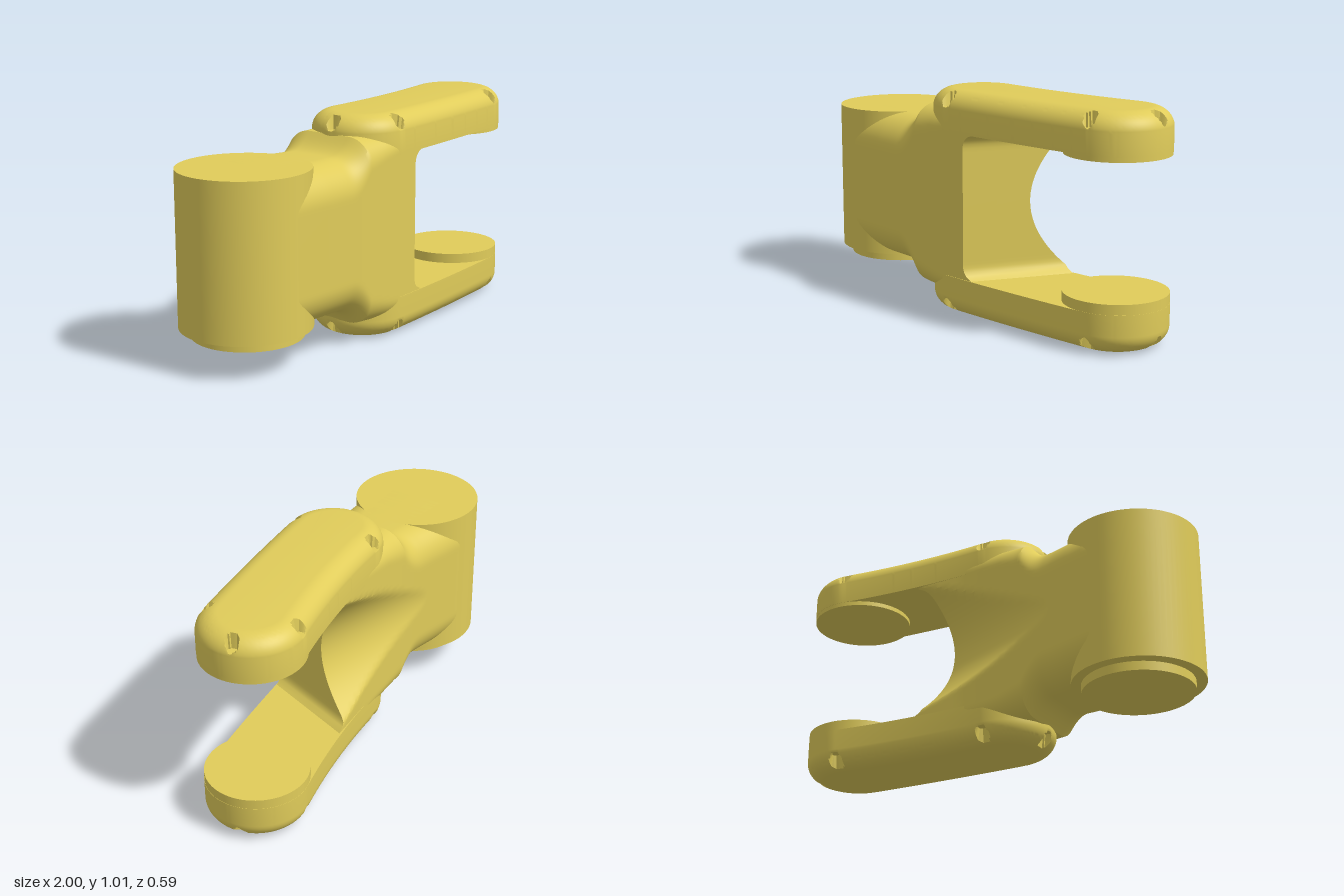
import * as THREE from 'three';
import { toCreasedNormals } from 'three/addons/utils/BufferGeometryUtils.js';

const MID = 0.5075; // height of the mirror plane between the two fork arms
const rad = THREE.MathUtils.degToRad;
const clamp = THREE.MathUtils.clamp;

// Skin closed rings of [x, y, z] points
function loft(rings) {
  const n = rings[0].length, index = [];
  for (let i = 0; i < rings.length - 1; i++) {
    for (let j = 0; j < n; j++) {
      const a = i * n + j, b = i * n + (j + 1) % n, c = b + n, d = a + n;
      index.push(a, d, c, a, c, b);
    }
  }
  const geo = new THREE.BufferGeometry();
  geo.setAttribute('position', new THREE.Float32BufferAttribute(rings.flat(2), 3));
  geo.setIndex(index);
  return toCreasedNormals(geo, 0.6);
}

// Piecewise linear lookup in [x, value] pairs
function lookup(table, x) {
  for (let i = 1; i < table.length; i++) {
    const [x0, v0] = table[i - 1], [x1, v1] = table[i];
    if (x <= x1) return v0 + (v1 - v0) * clamp((x - x0) / (x1 - x0), 0, 1);
  }
  return table[table.length - 1][1];
}

// Depth taken off by a rounded corner of radius r, at distance q from the edge
function corner(q, r) {
  if (q >= r) return 0;
  const k = r - Math.max(q, 0);
  return r - Math.sqrt(Math.max(r * r - k * k, 0));
}

// Plan outline of a fork arm, inset by d
function armOutline(d) {
  const pts = [];
  const arc = (cx, cz, r, a0, a1, n) => {
    for (let i = 0; i < n; i++) {
      const a = rad(a0 + (a1 - a0) * i / n);
      pts.push([cx + (r - d) * Math.cos(a), cz + (r - d) * Math.sin(a)]);
    }
  };
  const side = (p, c, q, n) => {
    const curve = new THREE.QuadraticBezierCurve(
      new THREE.Vector2(...p), new THREE.Vector2(...c), new THREE.Vector2(...q));
    for (let i = 0; i < n; i++) pts.push(curve.getPoint(i / n).toArray());
  };
  const on = (cx, cz, r, a) => [cx + (r - d) * Math.cos(rad(a)), cz + (r - d) * Math.sin(rad(a))];
  arc(-0.01, 0.06, 0.225, 88, 268, 70);
  side(on(-0.01, 0.06, 0.225, 268), [0.36, -0.16 + d], on(0.77, -0.005, 0.23, -98), 80);
  arc(0.77, -0.005, 0.23, -98, 82, 70);
  side(on(0.77, -0.005, 0.23, 82), [0.4, 0.267 - d], on(-0.01, 0.06, 0.225, 88), 80);
  return pts;
}

// Small drilled pockets on the rounded rim of each arm, [x, z]
const pockets = [[-0.01, -0.143], [-0.01, 0.258], [-0.21, 0.06], [0.735, -0.208], [0.805, 0.192], [0.965, -0.04]];

function armGeometry(upper) {
  const rings = [];
  const ring = (d, y) => rings.push(armOutline(d).map(([x, z]) => {
    const drilled = pockets.some(([px, pz]) => Math.hypot(x - px, z - pz) < 0.028);
    return [x, drilled ? Math.min(y, 0.943) : y, z];
  }));
  const hub = y => rings.push(armOutline(0).map(() => [0.38, y, 0.03]));
  hub(0.835);
  ring(0, 0.835);
  ring(0, 0.93);
  const steps = 14;
  for (let i = 1; i <= steps; i++) {
    const a = Math.PI / 2 * i / steps;
    ring(0.095 * (1 - Math.cos(a)), 0.93 + 0.085 * Math.sin(a));
  }
  hub(1.015);
  if (upper) return loft(rings);
  return loft(rings.map(r => r.map(([x, y, z]) => [x, 2 * MID - y, z])).reverse());
}

const front = [[-0.71, 0.279], [-0.5, 0.288], [-0.3, 0.292], [-0.1, 0.288], [0.05, 0.28], [0.2, 0.27]];
const back = [[-0.71, -0.299], [-0.6, -0.283], [-0.5, -0.258], [-0.4, -0.23], [-0.3, -0.206],
  [-0.2, -0.187], [-0.1, -0.174], [0, -0.167], [0.1, -0.164], [0.4, -0.17]];

// Neck that flares into the fork, with a slanted inner wall and a scooped back
function bodyGeometry() {
  const wall = (y, z) => 0.1 + 0.43 * (0.28 - z) + corner(0.3275 - Math.abs(y - MID), 0.06);
  const scoop = (x, y) => -0.01 + 0.35 * (x - 0.23) - 1.9 * (y - 0.52) ** 2;
  const rings = [], N = 56, S = 64, split = -0.1;
  for (let i = 0; i <= S; i++) {
    const X = -0.71 + 0.81 * i / S;
    const half = 0.345 + 0.075 * clamp((X + 0.34) / 0.11, 0, 1) ** 2;
    const r = lookup([[-0.35, 0.16], [0, 0.07]], X);
    const t = clamp((X - split) / 0.2, 0, 1);
    const point = (j, isFront) => {
      const y = MID + 0.0025 - half * Math.cos(Math.PI * j / N);
      const cut = corner(half - Math.abs(y - MID - 0.0025), r);
      let x = X, z = 0;
      for (let k = 0; k < 6; k++) {
        z = isFront ? lookup(front, x) - cut : Math.max(lookup(back, x) + cut, scoop(x, y));
        if (t > 0) x = split + t * (wall(y, z) - split);
      }
      return [x, y, z];
    };
    const ring = [];
    for (let j = 0; j <= N; j++) ring.push(point(j, true));
    for (let j = N; j >= 0; j--) ring.push(point(j, false));
    rings.push(ring);
  }
  // close the inner wall along its middle line
  const last = rings[S];
  rings.push(last.map((p, j) => p.map((v, k) => (v + last[last.length - 1 - j][k]) / 2)));
  return loft(rings);
}

export function createModel() {
  const group = new THREE.Group();
  const material = new THREE.MeshStandardMaterial({ color: 0xe0cc5a });
  const add = (name, geometry) => {
    const mesh = new THREE.Mesh(geometry, material);
    mesh.name = name;
    group.add(mesh);
  };
  const disc = (name, x, z, r, y0, y1) =>
    add(name, new THREE.CylinderGeometry(r, r, y1 - y0, 72).translate(x, (y0 + y1) / 2, z));

  // Joint barrel and its lower boss
  disc('barrel', -0.71, -0.01, 0.29, 0.165, 0.855);
  disc('barrelBoss', -0.705, -0.005, 0.245, 0.125, 0.17);

  // Neck and fork root
  add('neck', bodyGeometry());

  // Fork arms with round end pads
  add('upperArm', armGeometry(true));
  add('lowerArm', armGeometry(false));
  disc('upperPad', 0.77, -0.005, 0.229, 0.815, 0.92);
  disc('lowerPad', 0.77, -0.005, 0.229, 0.095, 0.225);

  return group;
}
